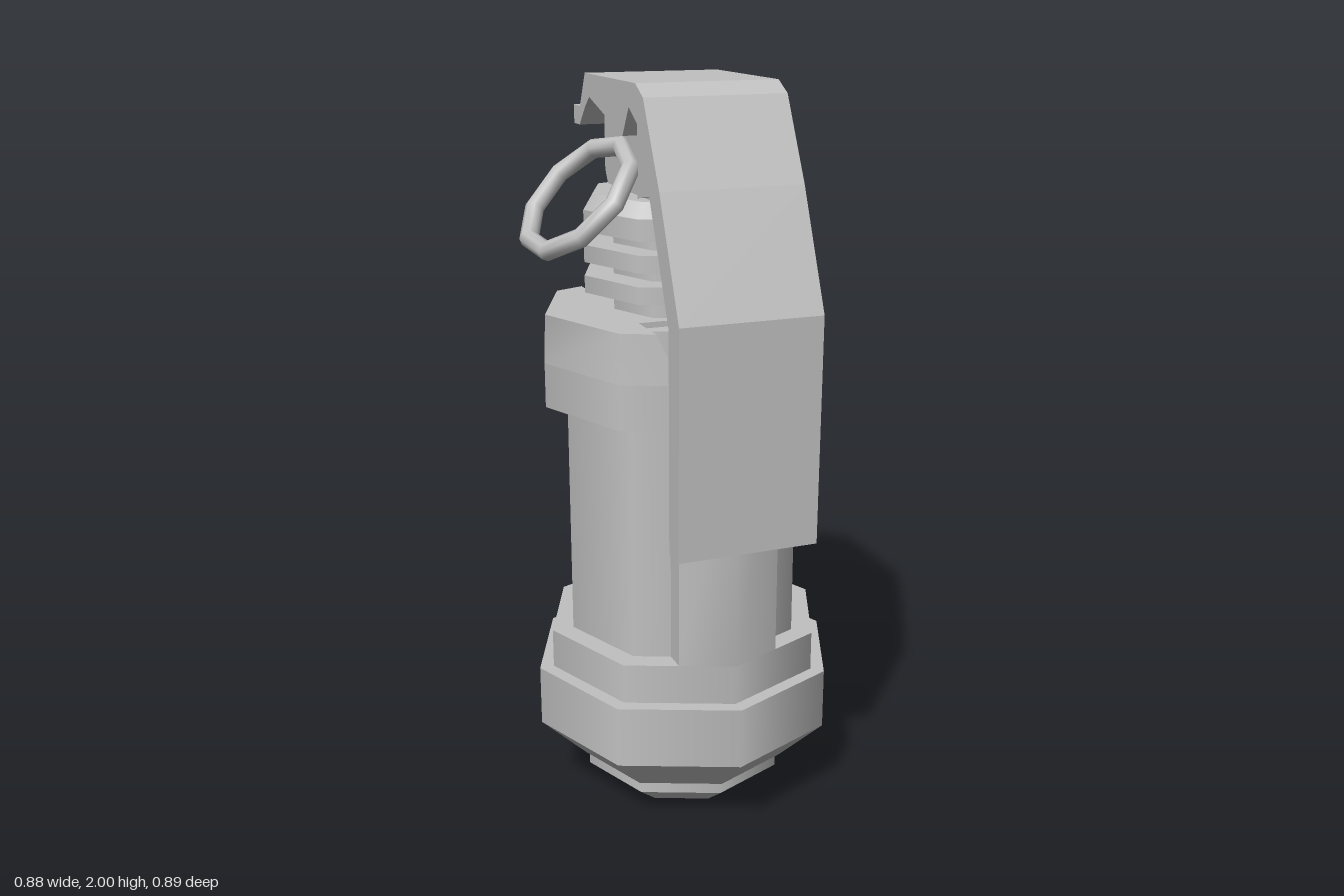
import * as THREE from 'three';
import { toCreasedNormals } from 'three/addons/utils/BufferGeometryUtils.js';

const metal = new THREE.MeshStandardMaterial({ color: 0xc0c0c0 });
metal.name = 'plainGrey';
const AXIS_Z = -0.015; // the round body sits slightly behind the middle

function add(parent, name, geometry) {
  const mesh = new THREE.Mesh(geometry, metal);
  mesh.name = name;
  parent.add(mesh);
  return mesh;
}

// eight-sided band with smooth sides and flat ends
function band(parent, name, y0, y1, r0, r1 = r0) {
  const geo = new THREE.CylinderGeometry(r1, r0, y1 - y0, 8);
  geo.translate(0, (y0 + y1) / 2, 0);
  return add(parent, name, geo);
}

// solid between two matching [x, z] outlines
function loft(bottom, top, y0, y1) {
  const n = bottom.length, pos = [], index = [];
  bottom.forEach(([x, z]) => pos.push(x, y0, z));
  top.forEach(([x, z]) => pos.push(x, y1, z));
  for (let i = 0; i < n; i++) {
    const j = (i + 1) % n;
    index.push(i, n + i, j, j, n + i, n + j);
  }
  const cap = THREE.ShapeUtils.triangulateShape(bottom.map(([x, z]) => new THREE.Vector2(x, z)), []);
  cap.forEach(([a, b, c]) => index.push(a, b, c, n + a, n + c, n + b));
  const geo = new THREE.BufferGeometry();
  geo.setAttribute('position', new THREE.Float32BufferAttribute(pos, 3));
  geo.setIndex(index);
  return toCreasedNormals(geo, 0.85);
}

// octagon outline with a notch of half width w at front and back
function notchedOctagon(r, w, depth) {
  const k = r * Math.SQRT1_2, z = r - w * Math.tan(Math.PI / 8);
  const half = [[r, 0], [k, k], [w, z], [w, depth], [-w, depth], [-w, z], [-k, k]];
  return [...half, ...half.map(([x, zz]) => [-x, -zz])];
}

export function createModel() {
  const model = new THREE.Group();
  model.name = 'canister';
  const body = new THREE.Group();
  body.name = 'body';
  body.position.z = AXIS_Z;
  model.add(body);

  // foot, base and main cylinder
  band(body, 'footTaper', 0, 0.07, 0.2, 0.29);
  band(body, 'footRim', 0.07, 0.105, 0.29);
  band(body, 'baseTaper', 0.105, 0.23, 0.3, 0.43);
  band(body, 'baseBand', 0.23, 0.4, 0.43);
  band(body, 'lowerCollar', 0.4, 0.51, 0.39);
  band(body, 'mainCylinder', 0.51, 1.16, 0.33);
  band(body, 'upperCollar', 1.16, 1.28, 0.39);

  // raised strips on front and back
  const strip = [[0.14, 0.2], [0.14, 0.332], [0, 0.39], [-0.14, 0.332], [-0.14, 0.2]];
  for (const [name, angle] of [['frontStrip', 0], ['backStrip', Math.PI]]) {
    add(body, name, loft(strip, strip, 0.51, 1.16)).rotation.y = angle;
  }

  // notched rim around the neck plug
  add(body, 'notchedRim', loft(notchedOctagon(0.39, 0.13, 0.18), notchedOctagon(0.385, 0.19, 0.18), 1.28, 1.41));
  band(body, 'neckPlug', 1.28, 1.395, 0.284);

  // ribbed neck
  band(body, 'neckCore', 1.39, 1.64, 0.195);
  for (const y of [1.46, 1.54]) band(body, 'neckRib', y, y + 0.045, 0.275);
  band(body, 'neckCap', 1.62, 1.675, 0.275);
  band(body, 'neckCapBevel', 1.675, 1.715, 0.275, 0.25);

  // side profiles as [z, y], extruded across x
  const extrudeAcross = (name, profile, width) => {
    const shape = new THREE.Shape(profile.map(([z, y]) => new THREE.Vector2(z, y)));
    const geo = new THREE.ExtrudeGeometry(shape, { depth: width, bevelEnabled: false });
    geo.translate(0, 0, -width / 2);
    geo.rotateY(-Math.PI / 2);
    return add(model, name, geo);
  };
  extrudeAcross('head', [[0.17, 1.71], [-0.185, 1.71], [-0.21, 1.75], [-0.21, 1.95], [0.17, 1.95]], 0.3);
  extrudeAcross('lever', [
    [0.445, 0.86], [0.45, 1.46], [0.32, 1.76], [0.21, 1.97], [0.155, 2], [-0.25, 2],
    [-0.3, 1.91], [-0.355, 1.91], [-0.355, 1.86], [-0.305, 1.86], [-0.255, 1.91], [-0.215, 1.94],
    [0.055, 1.865], [0.105, 1.94], [0.165, 1.905], [0.165, 1.725], [0.25, 1.74], [0.38, 1.44], [0.38, 0.86],
  ], 0.38);

  // tilted pull ring on the right, with its pin
  const ring = add(model, 'pullRing', new THREE.TorusGeometry(0.168, 0.025, 8, 9));
  const u = new THREE.Vector3(0.69, 0.72, 0).normalize();
  const v = new THREE.Vector3(0.12, -0.115, 0.98).normalize();
  const n = u.clone().cross(v).normalize();
  ring.quaternion.setFromRotationMatrix(new THREE.Matrix4().makeBasis(u, n.clone().cross(u), n));
  ring.position.set(-0.305, 1.718, 0.045);

  return model;
}
